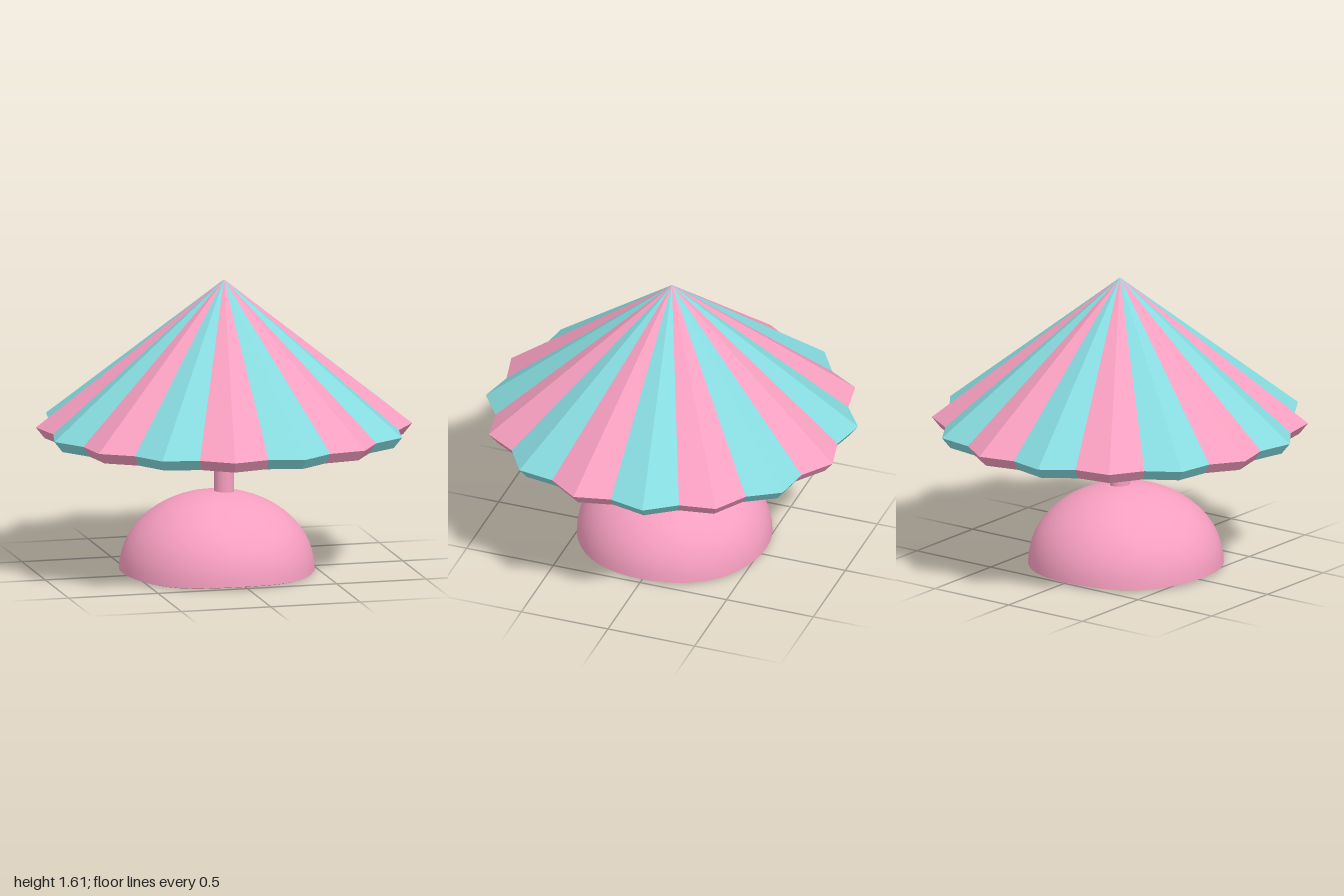
import * as THREE from 'three';
import { toCreasedNormals } from 'three/addons/utils/BufferGeometryUtils.js';

const pink = new THREE.MeshStandardMaterial({ color: 0xf79fc0 });
const pinkFlat = new THREE.MeshStandardMaterial({ color: 0xf79fc0, flatShading: true });
const tealFlat = new THREE.MeshStandardMaterial({ color: 0x86dade, flatShading: true });

const WEDGES = 16;
const TIP = 1.02, VALLEY = 0.955; // rim radii at ridge and valley
const INNER = 0.953; // lower rim scale, from the cloth thickness

// One pleated canopy wedge: two folds, each with outer face, rim band and inner face
function wedgeGeometry(k) {
  const apex = [0, 1.61, 0], innerApex = [0, 1.52, 0];
  const rim = (i, scale, y) => {
    const a = (i * Math.PI) / WEDGES;
    const r = (i % 2 ? TIP : VALLEY) * scale;
    return [r * Math.sin(a), y, r * Math.cos(a)];
  };
  const v = [];
  for (let i = 2 * k; i < 2 * k + 2; i++) {
    const a = rim(i, 1, 0.803), b = rim(i + 1, 1, 0.803);
    const c = rim(i, INNER, 0.743), d = rim(i + 1, INNER, 0.743);
    v.push(...apex, ...a, ...b);
    v.push(...a, ...c, ...d, ...a, ...d, ...b);
    v.push(...innerApex, ...d, ...c);
  }
  const g = new THREE.BufferGeometry();
  g.setAttribute('position', new THREE.Float32BufferAttribute(v, 3));
  g.computeVertexNormals();
  return g;
}

// Hollow dome base with a rim that dips slightly at the diagonals
function domeGeometry() {
  const steps = 14, pts = [];
  for (let i = 0; i <= steps; i++) {
    const t = (i / steps) * Math.PI / 2;
    pts.push(new THREE.Vector2(0.51 * Math.sin(t), 0.012 + 0.41 * Math.cos(t)));
  }
  for (let i = steps; i >= 0; i--) {
    const t = (i / steps) * Math.PI / 2;
    pts.push(new THREE.Vector2(0.53 * Math.sin(t), 0.018 + 0.427 * Math.cos(t)));
  }
  const g = new THREE.LatheGeometry(pts, 48);
  const p = g.attributes.position;
  for (let i = 0; i < p.count; i++) {
    const x = p.getX(i), y = p.getY(i), z = p.getZ(i);
    const dip = Math.sin(2 * Math.atan2(x, z)) ** 2;
    p.setY(i, y - 0.012 * dip * Math.max(0, 1 - y / 0.2));
  }
  return toCreasedNormals(g, 0.8);
}

export function createModel() {
  const model = new THREE.Group();
  model.name = 'parasol';

  // Canopy in alternating colours
  const canopy = new THREE.Group();
  canopy.name = 'canopy';
  for (let k = 0; k < WEDGES; k++) {
    const wedge = new THREE.Mesh(wedgeGeometry(k), k % 2 ? pinkFlat : tealFlat);
    wedge.name = 'canopyWedge' + (k + 1);
    canopy.add(wedge);
  }
  model.add(canopy);

  // Pole from the dome up into the canopy peak
  const pole = new THREE.Mesh(new THREE.CylinderGeometry(0.055, 0.055, 1.05, 32), pink);
  pole.name = 'pole';
  pole.position.y = 0.955;
  model.add(pole);

  // Base dome, slightly off centre
  const base = new THREE.Mesh(domeGeometry(), pink);
  base.name = 'baseDome';
  base.position.x = -0.04;
  model.add(base);

  return model;
}
